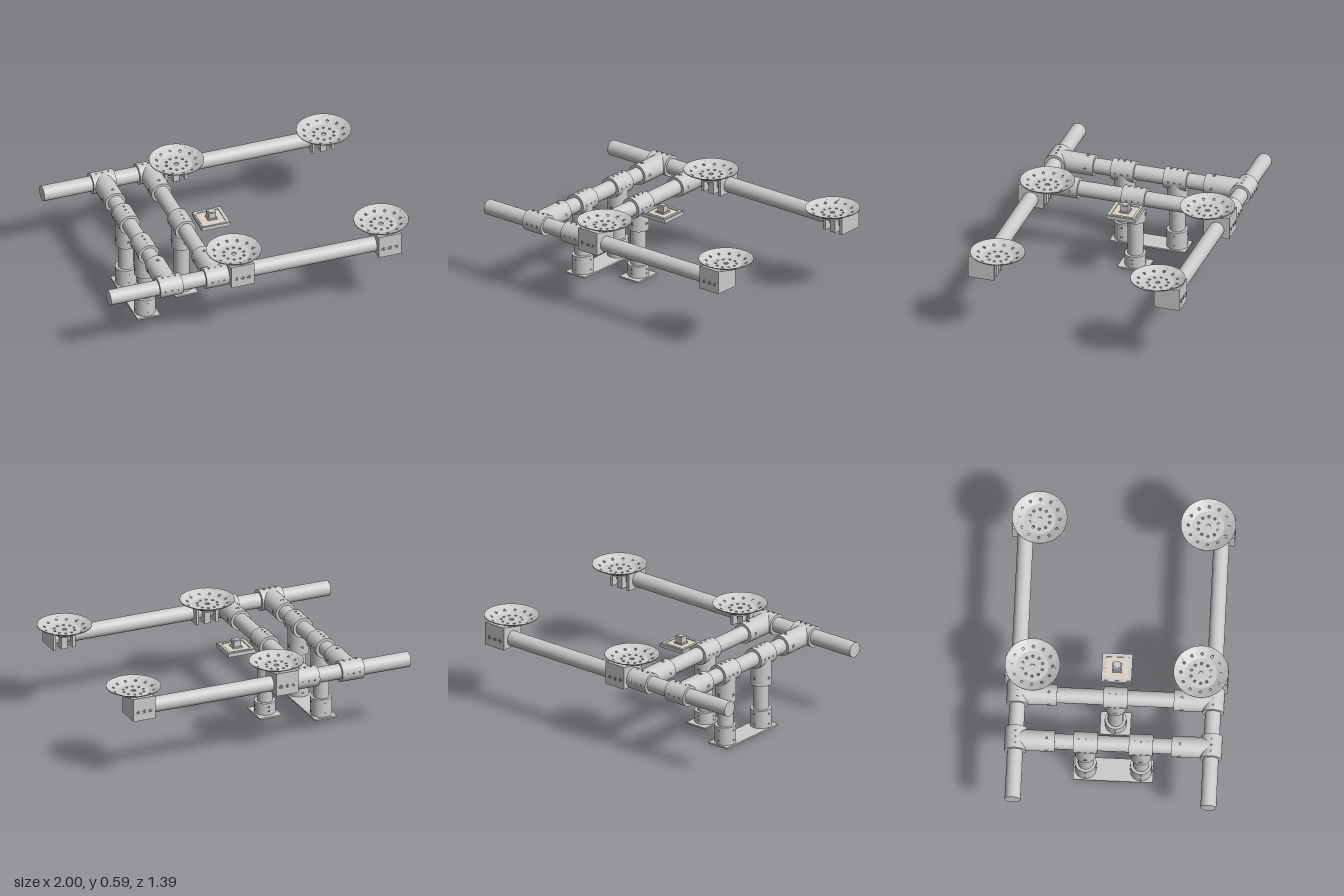
import * as THREE from 'three';

const grey = new THREE.MeshStandardMaterial({ color: 0xcccccc });
const dark = new THREE.MeshStandardMaterial({ color: 0x777777 });
const beige = new THREE.MeshStandardMaterial({ color: 0xdcd2c6 });
const V = (x, y, z) => new THREE.Vector3(x, y, z);
const UP = V(0, 1, 0);
const RAIL_Y = 0.477, RAIL_Z = 0.607, PIPE_R = 0.049, SLEEVE_R = 0.067;

function add(parent, name, geometry, material = grey) {
  const mesh = new THREE.Mesh(geometry, material);
  mesh.name = name;
  parent.add(mesh);
  return mesh;
}

function group(parent, name, x = 0, y = 0, z = 0) {
  const g = new THREE.Group();
  g.name = name;
  g.position.set(x, y, z);
  parent.add(g);
  return g;
}

// Round bar between two points
function bar(parent, name, a, b, r, segments = 32, material = grey) {
  const d = b.clone().sub(a);
  const mesh = add(parent, name, new THREE.CylinderGeometry(r, r, d.length(), segments), material);
  mesh.position.copy(a).add(b).multiplyScalar(0.5);
  mesh.quaternion.setFromUnitVectors(UP, d.normalize());
  return mesh;
}

// Small screw: collar with a darker socket, centred on the surface
function screw(parent, p, dir, r = 0.007) {
  bar(parent, 'screwCollar', p.clone().addScaledVector(dir, -0.006), p.clone().addScaledVector(dir, 0.002), r, 12);
  bar(parent, 'screwSocket', p.clone().addScaledVector(dir, -0.004), p.clone().addScaledVector(dir, 0.003), r * 0.65, 10, dark);
}

// Tee fitting: sleeve along one axis and a branch at right angles
function tee(parent, name, at, axis, branch, length) {
  const g = group(parent, name, at.x, at.y, at.z);
  bar(g, 'sleeve', axis.clone().multiplyScalar(-0.075), axis.clone().multiplyScalar(0.075), SLEEVE_R);
  bar(g, 'branch', V(0, 0, 0), branch.clone().multiplyScalar(length), SLEEVE_R - 0.001);
  const side = axis.clone().cross(branch);
  for (const t of [-0.04, 0, 0.04]) {
    for (const d of [branch.clone().negate(), side, side.clone().negate()]) {
      screw(g, axis.clone().multiplyScalar(t).addScaledVector(d, SLEEVE_R), d);
    }
  }
  for (const s of [-1, 1]) {
    for (const d of [axis, side]) {
      screw(g, branch.clone().multiplyScalar(length - 0.05).addScaledVector(d, s * (SLEEVE_R - 0.001)), d.clone().multiplyScalar(s), 0.012);
    }
  }
}

function hole(shape, x, y, r) {
  shape.holes.push(new THREE.Path().absarc(x, y, r, 0, Math.PI * 2, true));
}

// Shallow perforated dish: flat floor and conical wall made of equal sectors
function dish(parent) {
  const g = group(parent, 'dish');
  const floor = new THREE.Shape().absarc(0, 0, 0.1, 0, Math.PI * 2);
  hole(floor, 0, 0, 0.015);
  for (let i = 0; i < 10; i++) {
    const a = i * Math.PI / 5;
    hole(floor, 0.065 * Math.cos(a), 0.065 * Math.sin(a), 0.008);
  }
  const floorGeo = new THREE.ExtrudeGeometry(floor, { depth: 0.008, bevelEnabled: false, curveSegments: 24 });
  add(g, 'dishFloor', floorGeo.rotateX(-Math.PI / 2).translate(0, 0.547, 0));

  const h = Math.PI / 12;
  const sector = new THREE.Shape();
  sector.absarc(0, 0, 0.171, -h, h, false);
  sector.absarc(0, 0, 0.097, h, -h, true);
  hole(sector, 0.125, 0, 0.008);
  const wall = new THREE.ExtrudeGeometry(sector, { depth: 0.005, bevelEnabled: false, curveSegments: 8 });
  wall.rotateX(-Math.PI / 2);
  const p = wall.attributes.position;
  for (let i = 0; i < p.count; i++) {
    const r = Math.hypot(p.getX(i), p.getZ(i));
    p.setY(i, p.getY(i) + 0.549 + (r - 0.097) * 0.47);
  }
  wall.computeVertexNormals();
  for (let i = 0; i < 12; i++) add(g, 'dishWall', wall).rotation.y = i * Math.PI / 6;

  // Stepped seat below the floor
  bar(g, 'dishSeat', V(0, 0.52, 0), V(0, 0.548, 0), 0.055);
  return g;
}

// Clamp block: grooved on the inner side, top sloping down inwards
function clampBlock(parent) {
  const s = new THREE.Shape();
  s.moveTo(-0.075, -0.167);
  s.lineTo(0.075, -0.167);
  s.lineTo(0.075, 0);
  for (const c of [0.038, -0.038]) {
    s.lineTo(c + 0.018, 0);
    s.lineTo(c + 0.018, -0.04);
    s.absarc(c, -0.04, 0.018, 0, -Math.PI, true);
    s.lineTo(c - 0.018, 0);
  }
  s.lineTo(-0.075, 0);
  const geo = new THREE.ExtrudeGeometry(s, { depth: 0.11, bevelEnabled: false, curveSegments: 10 });
  geo.rotateX(-Math.PI / 2);
  const p = geo.attributes.position;
  for (let i = 0; i < p.count; i++) {
    if (p.getY(i) > 0.05) p.setY(i, 0.11 + p.getZ(i) * 0.24);
  }
  geo.computeVertexNormals();
  return add(parent, 'clampBlock', geo.translate(0, 0.422, 0));
}

// Dish mount, built for the +z rail and turned round for the other
function dishMount(parent, x, side) {
  const g = group(parent, 'dishMount', x, 0, side * 0.523);
  if (side < 0) g.rotation.y = Math.PI;
  clampBlock(g);
  dish(g);
  for (const t of [-0.042, 0, 0.042]) screw(g, V(t, RAIL_Y, 0.167), V(0, 0, 1), 0.015);
}

// Upright with a socket at the foot
function leg(parent, x, z, socketTop) {
  const g = group(parent, 'leg', x, 0, z);
  bar(g, 'legPipe', V(0, 0.01, 0), V(0, RAIL_Y, 0), PIPE_R);
  bar(g, 'footSocket', V(0, 0.008, 0), V(0, socketTop, 0), SLEEVE_R);
  for (const y of [0.035, socketTop - 0.025]) {
    for (const d of [V(1, 0, 0), V(-1, 0, 0), V(0, 0, 1), V(0, 0, -1)]) {
      screw(g, V(0, y, 0).addScaledVector(d, SLEEVE_R), d);
    }
  }
}

function footPlate(parent, x, depth) {
  add(parent, 'footPlate', new THREE.BoxGeometry(0.15, 0.01, depth)).position.set(x, 0.005, 0);
}

// Open square frame holding a board and a button
function sensor(parent) {
  const g = group(parent, 'sensor', -0.105, 0, 0);
  const square = (C, r) => new C([[-r, -r], [r, -r], [r, r], [-r, r]].map(([a, b]) => new THREE.Vector2(a, b)));
  const ring = (name, outer, inner, y, h) => {
    const s = square(THREE.Shape, outer);
    s.holes.push(square(THREE.Path, inner));
    const geo = new THREE.ExtrudeGeometry(s, { depth: h, bevelEnabled: false });
    add(g, name, geo.rotateX(-Math.PI / 2).translate(0, y, 0));
  };
  ring('sensorFrame', 0.094, 0.075, 0.458, 0.024);
  ring('sensorLip', 0.086, 0.07, 0.478, 0.007);
  add(g, 'sensorBoard', new THREE.BoxGeometry(0.152, 0.008, 0.152), beige).position.y = 0.476;
  add(g, 'buttonBase', new THREE.BoxGeometry(0.062, 0.01, 0.062)).position.y = 0.484;
  add(g, 'buttonBody', new THREE.BoxGeometry(0.048, 0.045, 0.048)).position.y = 0.505;
  bar(g, 'buttonCap', V(0, 0.52, 0), V(0, 0.531, 0), 0.019, 24);
}

export function createModel() {
  const model = new THREE.Group();
  model.name = 'pipeFrame';
  const X = V(1, 0, 0), Z = V(0, 0, 1), DOWN = V(0, -1, 0);
  const REAR = -0.605, FRONT = -0.3;

  // Long rails with their tees and dish mounts
  for (const side of [-1, 1]) {
    const z = side * RAIL_Z;
    bar(model, 'rail', V(-1, RAIL_Y, z), V(0.89, RAIL_Y, z), PIPE_R);
    for (const x of [REAR, FRONT]) tee(model, 'railTee', V(x, RAIL_Y, z), X, V(0, 0, -side), 0.245);
    for (const x of [-0.145, 0.825]) dishMount(model, x, side);
  }

  // Cross pipes
  for (const x of [REAR, FRONT]) bar(model, 'crossPipe', V(x, RAIL_Y, -0.58), V(x, RAIL_Y, 0.58), PIPE_R);

  // Pair of legs on a shared plate
  for (const z of [-0.172, 0.172]) {
    tee(model, 'legTee', V(REAR, RAIL_Y, z), Z, DOWN, 0.187);
    leg(model, REAR, z, 0.127);
  }
  footPlate(model, REAR, 0.495);

  // Single leg
  tee(model, 'legTee', V(FRONT, RAIL_Y, 0), Z, DOWN, 0.157);
  leg(model, FRONT, 0, 0.087);
  footPlate(model, FRONT, 0.19);

  sensor(model);
  return model;
}
